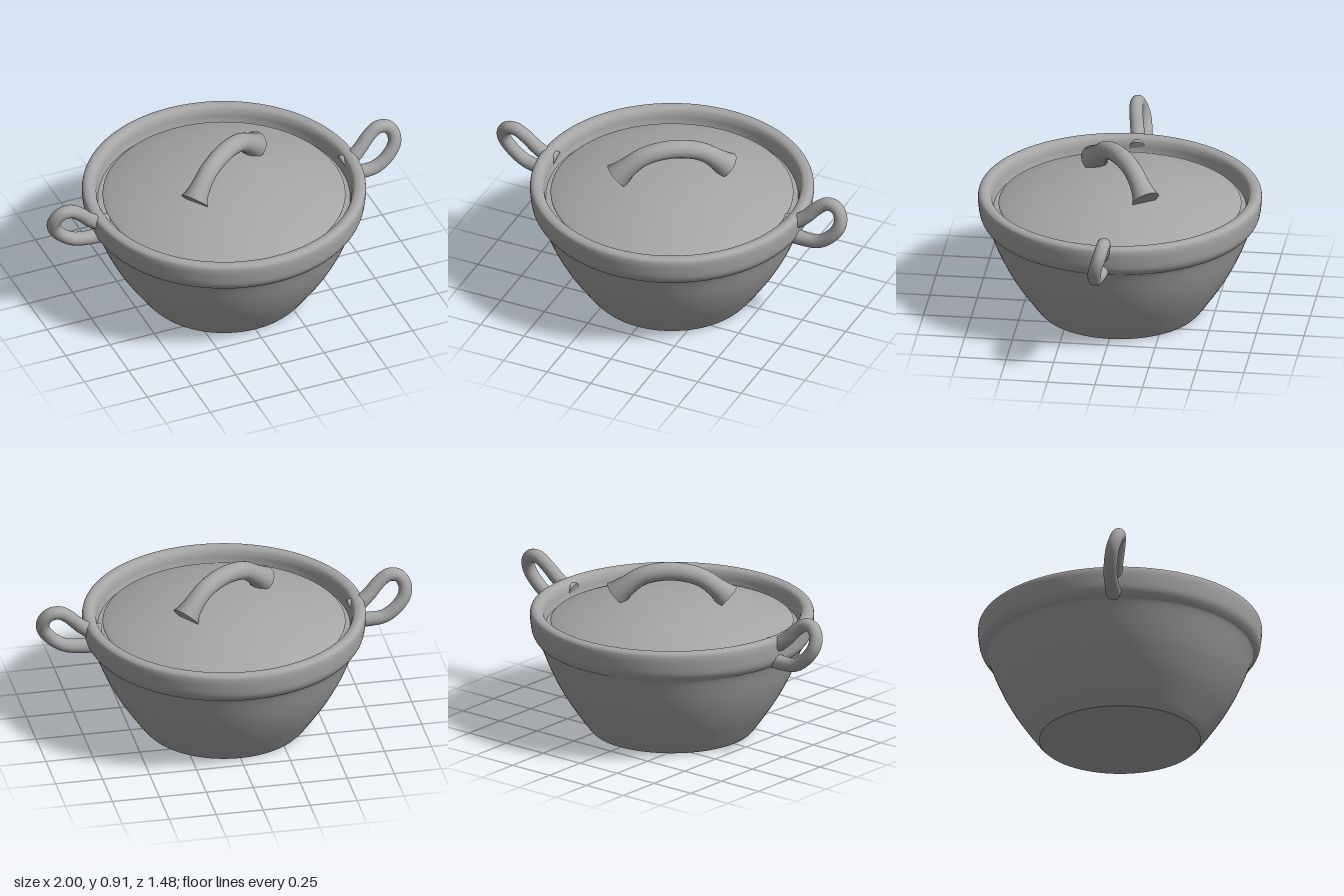
import * as THREE from 'three';

const clay = new THREE.MeshStandardMaterial({ color: 0xa6a6a6 });
clay.name = 'plain grey';

function add(parent, geometry, name) {
  const mesh = new THREE.Mesh(geometry, clay);
  mesh.name = name;
  parent.add(mesh);
  return mesh;
}

// Revolved shape from a smoothed profile of [radius, height] points
function turned(points, samples) {
  const curve = new THREE.SplineCurve(points.map(([r, y]) => new THREE.Vector2(r, y)));
  const profile = curve.getPoints(samples);
  profile.forEach((p) => { p.x = Math.max(p.x, 0); });
  return new THREE.LatheGeometry(profile, 96);
}

// Capped round bar along a curve, with its radius given by a rule along the length
function bar(name, points, radiusAt) {
  const group = new THREE.Group();
  group.name = name;
  const curve = new THREE.CatmullRomCurve3(points.map((p) => new THREE.Vector3(...p)));
  const steps = 64, sides = 24;
  const tube = new THREE.TubeGeometry(curve, steps, 1, sides);
  const pos = tube.attributes.position;
  const v = new THREE.Vector3();
  for (let i = 0; i <= steps; i++) {
    const centre = curve.getPointAt(i / steps);
    for (let j = 0; j <= sides; j++) {
      const k = i * (sides + 1) + j;
      v.fromBufferAttribute(pos, k).sub(centre).multiplyScalar(radiusAt(i / steps)).add(centre);
      pos.setXYZ(k, v.x, v.y, v.z);
    }
  }
  add(group, tube, name + 'Bar');
  for (const u of [0, 1]) {
    const cap = add(group, new THREE.CircleGeometry(radiusAt(u), sides), name + 'End');
    cap.position.copy(curve.getPointAt(u));
    const outward = curve.getTangentAt(u).multiplyScalar(u ? 1 : -1);
    cap.quaternion.setFromUnitVectors(new THREE.Vector3(0, 0, 1), outward);
  }
  return group;
}

export function createModel() {
  const model = new THREE.Group();
  model.name = 'casserole';

  // Pot wall: tapered outside, rolled rim, inside wall
  add(model, turned([
    [0.42, 0], [0.45, 0.035], [0.54, 0.165], [0.6, 0.27], [0.642, 0.36], [0.69, 0.48],
    [0.708, 0.5], [0.729, 0.535], [0.738, 0.59], [0.74, 0.63], [0.733, 0.652], [0.71, 0.661],
    [0.682, 0.652], [0.668, 0.625], [0.662, 0.585], [0.645, 0.52], [0.6, 0.4], [0.5, 0.2], [0.4, 0.06],
  ], 110), 'potWall');

  // Underside and inner floor
  const underside = add(model, new THREE.CircleGeometry(0.42, 96), 'underside');
  underside.rotation.x = Math.PI / 2;
  const floor = add(model, new THREE.CircleGeometry(0.4, 96), 'innerFloor');
  floor.rotation.x = -Math.PI / 2;
  floor.position.y = 0.06;

  // Ledge that carries the lid
  const ledge = add(model, new THREE.RingGeometry(0.57, 0.662, 96), 'lidLedge');
  ledge.rotation.x = -Math.PI / 2;
  ledge.position.y = 0.565;

  // Shallow domed lid
  add(model, turned([
    [0.63, 0.585], [0.625, 0.597], [0.54, 0.63], [0.44, 0.66], [0.3, 0.693], [0.15, 0.714], [0, 0.72],
  ], 36), 'lid');
  const lidBottom = add(model, new THREE.CircleGeometry(0.63, 96), 'lidUnderside');
  lidBottom.rotation.x = Math.PI / 2;
  lidBottom.position.y = 0.585;

  // Arched lid handle with flared feet, set diagonally
  const lidHandle = bar('lidHandle', [
    [-0.29, 0.725, 0], [-0.245, 0.765, 0], [-0.15, 0.83, 0], [0, 0.858, 0],
    [0.15, 0.83, 0], [0.245, 0.765, 0], [0.29, 0.725, 0],
  ], (u) => 0.048 + 0.026 * Math.pow(Math.abs(2 * u - 1), 6));
  lidHandle.rotation.y = 0.61;
  model.add(lidHandle);

  // Looped side handles, each a half turn from the other
  for (const [name, turn] of [['leftHandle', 0], ['rightHandle', Math.PI]]) {
    const handle = bar(name, [
      [0.68, 0.525, 0.005], [0.77, 0.522, 0.01], [0.85, 0.535, 0.016], [0.92, 0.585, 0.014],
      [0.963, 0.65, 0.002], [0.962, 0.705, -0.015], [0.93, 0.745, -0.027], [0.88, 0.75, -0.03],
      [0.83, 0.717, -0.024], [0.77, 0.655, -0.01], [0.72, 0.617, 0], [0.665, 0.6, 0.004],
    ], (u) => 0.035 + 0.008 * Math.pow(Math.abs(2 * u - 1), 4));
    handle.rotation.y = turn;
    model.add(handle);
  }

  return model;
}
